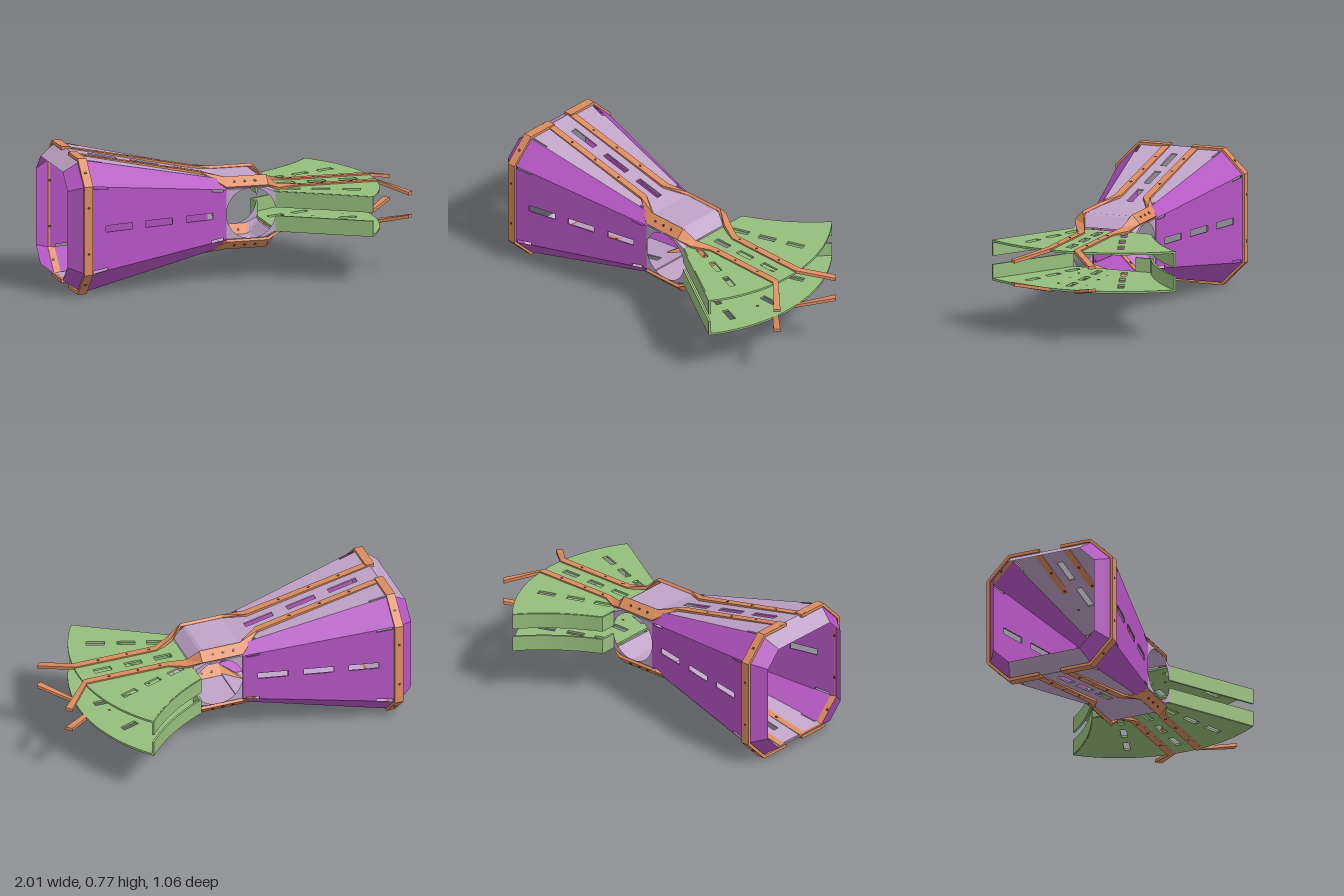
import * as THREE from 'three';

const mat = (color) => new THREE.MeshStandardMaterial({ color, side: THREE.DoubleSide, flatShading: true });
const V = (x, y, z) => new THREE.Vector3(x, y, z);

export function createModel() {
  const root = new THREE.Group();
  const body = new THREE.Group();
  body.name = 'body';
  body.position.set(0, 0.383, 0.05); // everything is laid out around the long axis
  root.add(body);

  const mauve = mat(0xc0a4c8), purple = mat(0xb455c2), orange = mat(0xdb8c60);
  const green = mat(0x96bd7c), dark = mat(0x5c3a28);

  const add = (name, geo, material, parent = body) => {
    const m = new THREE.Mesh(geo, material);
    m.name = name;
    parent.add(m);
    return m;
  };

  // Surface through rows of points; closed rows also get end caps
  function loft(rows, closed = false, flip = false) {
    const pos = [];
    const tri = (a, b, c) => (flip ? [a, c, b] : [a, b, c]).forEach((p) => pos.push(p.x, p.y, p.z));
    const n = rows[0].length;
    for (let i = 0; i < rows.length - 1; i++) {
      for (let j = 0; j < (closed ? n : n - 1); j++) {
        const k = (j + 1) % n;
        tri(rows[i][j], rows[i + 1][j], rows[i + 1][k]);
        tri(rows[i][j], rows[i + 1][k], rows[i][k]);
      }
    }
    if (closed) {
      const a = rows[0], b = rows[rows.length - 1];
      for (let j = 1; j < n - 1; j++) { tri(a[0], a[j], a[j + 1]); tri(b[0], b[j + 1], b[j]); }
    }
    const g = new THREE.BufferGeometry();
    g.setAttribute('position', new THREE.Float32BufferAttribute(pos, 3));
    g.computeVertexNormals();
    return g;
  }

  // Flat bar along stations [centre, half-width vector, outward normal], mirrored by sy and sz
  function bar(stations, t, sy = 1, sz = 1) {
    const m = V(1, sy, sz);
    const rows = stations.map(([p, w, n]) => {
      const a = p.clone().add(w), b = p.clone().sub(w), d = n.clone().normalize().multiplyScalar(t);
      return [a, b, b.clone().sub(d), a.clone().sub(d)].map((q) => q.multiply(m));
    });
    return loft(rows, true, sy * sz < 0);
  }

  const slotPath = (cx, cy, l, w, ang = 0) => {
    const c = Math.cos(ang), s = Math.sin(ang);
    return new THREE.Path([[-1, -1], [-1, 1], [1, 1], [1, -1]].map(([i, j]) => new THREE.Vector2(
      cx + (i * l * c - j * w * s) / 2, cy + (i * l * s + j * w * c) / 2)));
  };

  // Funnel: octagonal taper between x0 and x1
  const x0 = -0.9, x1 = -0.05;
  const mix = (a, b, x) => a + (b - a) * (x - x0) / (x1 - x0);
  const half = (x) => mix(0.375, 0.19, x);
  const corner = (x) => mix(0.25, 0.14, x);

  function flatPanel() {
    // one edge, with small notches near both ends
    const edge = [[-0.9, 0], [-0.87, 0], [-0.87, 0.014], [-0.78, 0.014], [-0.78, 0],
      [-0.14, 0], [-0.14, 0.014], [-0.07, 0.014], [-0.07, 0], [-0.05, 0]]
      .map(([x, d]) => new THREE.Vector2(x, corner(x) - d));
    const shape = new THREE.Shape([...edge, ...edge.map((p) => new THREE.Vector2(p.x, -p.y)).reverse()]);
    for (const x of [-0.71, -0.465, -0.215]) shape.holes.push(slotPath(x, 0, 0.165, 0.036));
    const g = new THREE.ExtrudeGeometry(shape, { depth: 0.008, bevelEnabled: false });
    g.rotateX(Math.PI / 2);
    const p = g.attributes.position;
    for (let i = 0; i < p.count; i++) p.setY(i, p.getY(i) + half(p.getX(i)));
    g.computeVertexNormals();
    return g;
  }

  for (let i = 0; i < 4; i++) {
    const side = new THREE.Group();
    side.name = 'funnelSide' + i;
    side.rotation.x = i * Math.PI / 2;
    body.add(side);
    const m = i % 2 ? purple : mauve;
    add('slottedPanel', flatPanel(), m, side);
    add('rearLip', loft([
      [V(-1, 0.305, 0.215), V(-1, 0.305, -0.215)],
      [V(x0, 0.375, 0.25), V(x0, 0.375, -0.25)]]), m, side);
    add('cornerPanel', loft([
      [V(-1, 0.215, 0.305), V(-1, 0.305, 0.215)],
      [V(x0, 0.25, 0.375), V(x0, 0.375, 0.25)],
      [V(x1, 0.14, 0.19), V(x1, 0.19, 0.14)]]), purple, side);
  }

  // Neck cowls, each cut by half of the round side opening
  for (const s of [1, -1]) {
    const rows = [];
    for (let i = 0; i <= 24; i++) {
      const x = 0.092 - 0.142 * Math.cos(Math.PI * i / 24);
      const k = Math.max(0, (x - 0.17) / 0.064);
      const h = 0.19 - 0.068 * k, ch = 0.14 - 0.03 * k;
      const cut = Math.min(ch, 0.142 * Math.sin(Math.PI * i / 24));
      const sec = [[cut, 0.187], [ch, 0.187], [h, 0.138]];
      rows.push([...sec.map(([y, z]) => V(x, s * y, z)),
        ...sec.map(([y, z]) => V(x, s * y, -z)).reverse()]);
    }
    add(s > 0 ? 'upperNeckCowl' : 'lowerNeckCowl', loft(rows, false, s < 0), mauve);
  }

  // Long ribs: four mirrored bars flaring round the neck
  const flat = V(0, 0, 0.02), up = V(0, 1, 0), tilt = V(0, -0.025, 0.024), out = V(0, 0.7, 0.7);
  const rib = [
    [V(-0.92, 0.385, 0.085), flat, up], [V(-0.17, 0.23, 0.085), flat, up],
    [V(-0.05, 0.18, 0.17), tilt, out], [V(0.19, 0.18, 0.17), tilt, out],
    [V(0.26, 0.135, 0.135), V(0.005, -0.008, 0.022), V(0, 1, 0.3)],
    [V(0.36, 0.122, 0.085), flat, up], [V(0.84, 0.122, 0.085), flat, up],
    [V(0.995, 0.073, 0.235), V(-0.014, 0, 0.014), up],
  ];
  // Half ring round the wide end, from upper rib to lower rib
  const across = V(-0.025, 0, 0);
  const ring = [[0.384, 0.066, 1, 0], [0.384, 0.25, 1, 0.4], [0.25, 0.384, 0.4, 1],
    [-0.25, 0.384, -0.4, 1], [-0.384, 0.25, -1, 0.4], [-0.384, 0.066, -1, 0]]
    .map(([y, z, ny, nz]) => [V(-0.9, y, z), across, V(0, ny, nz)]);

  const holeGeo = new THREE.CylinderGeometry(0.008, 0.008, 0.022, 10);
  const hole = (x, y, z, n) => {
    const h = add('boltHole', holeGeo, dark);
    h.position.set(x, y, z);
    h.quaternion.setFromUnitVectors(up, n.clone().normalize());
  };

  for (const sz of [1, -1]) {
    add(sz > 0 ? 'frontHalfRing' : 'backHalfRing', bar(ring, 0.018, 1, sz), orange);
    for (const y of [0.13, -0.13]) hole(-0.9, y, sz * 0.374, V(0, 0, 1));
    for (const sy of [1, -1]) {
      add('longRib', bar(rib, 0.018, sy, sz), orange);
      for (const x of [-0.72, -0.545, -0.365]) {
        hole(x, sy * (0.385 - 0.2067 * (x + 0.92) - 0.01), sz * 0.085, V(0.2, sy, 0));
      }
      for (const x of [0, 0.06, 0.12]) hole(x, sy * 0.174, sz * 0.164, V(0, sy, sz));
      for (const x of [0.4, 0.53, 0.7]) hole(x, sy * 0.112, sz * 0.085, up);
      hole(-0.9, sy * 0.311, sz * 0.311, V(0, sy, sz));
    }
  }

  // Fan plates with flanged edges
  const backEdge = new THREE.QuadraticBezierCurve(new THREE.Vector2(0.235, -0.28),
    new THREE.Vector2(0.47, -0.39), new THREE.Vector2(0.63, -0.58)).getPoints(12);
  const frontEdge = [new THREE.Vector2(0.235, 0.185), new THREE.Vector2(0.71, 0.473)];
  const backFlange = [new THREE.Vector2(0.235, -0.187), ...backEdge];
  const arc = [];
  const a0 = Math.atan2(-0.58, 0.655), a1 = Math.atan2(0.473, 0.735);
  for (let i = 0; i <= 32; i++) {
    const a = a0 + (a1 - a0) * i / 32;
    arc.push(new THREE.Vector2(-0.025 + 0.875 * Math.cos(a), 0.875 * Math.sin(a)));
  }

  function flange(points, s) {
    return bar(points.map((p, i) => {
      const d = points[Math.min(i + 1, points.length - 1)].clone()
        .sub(points[Math.max(i - 1, 0)]).normalize();
      return [V(p.x, 0.112, p.y), V(-d.y, 0, d.x).multiplyScalar(0.006), up];
    }), 0.088, s);
  }

  for (const s of [1, -1]) {
    const fan = new THREE.Group();
    fan.name = s > 0 ? 'upperFan' : 'lowerFan';
    body.add(fan);
    const shape = new THREE.Shape([...backEdge, ...arc.slice(1, -1), frontEdge[1], frontEdge[0]]);
    for (const x of [0.35, 0.525, 0.705]) shape.holes.push(slotPath(x, 0, 0.1, 0.036));
    for (const [x, z] of [[0.335, 0.148], [0.49, 0.2], [0.65, 0.258]]) {
      shape.holes.push(slotPath(x, z, 0.1, 0.034, 0.35));
      shape.holes.push(slotPath(x, -z - 0.01, 0.1, 0.034, -0.35));
    }
    const g = new THREE.ExtrudeGeometry(shape, { depth: 0.012, bevelEnabled: false });
    g.rotateX(Math.PI / 2).translate(0, s > 0 ? 0.114 : -0.102, 0);
    add('fanPlate', g, green, fan);
    add('frontFlange', flange(frontEdge, s), green, fan);
    add('backFlange', flange(backFlange, s), green, fan);
  }
  return root;
}
